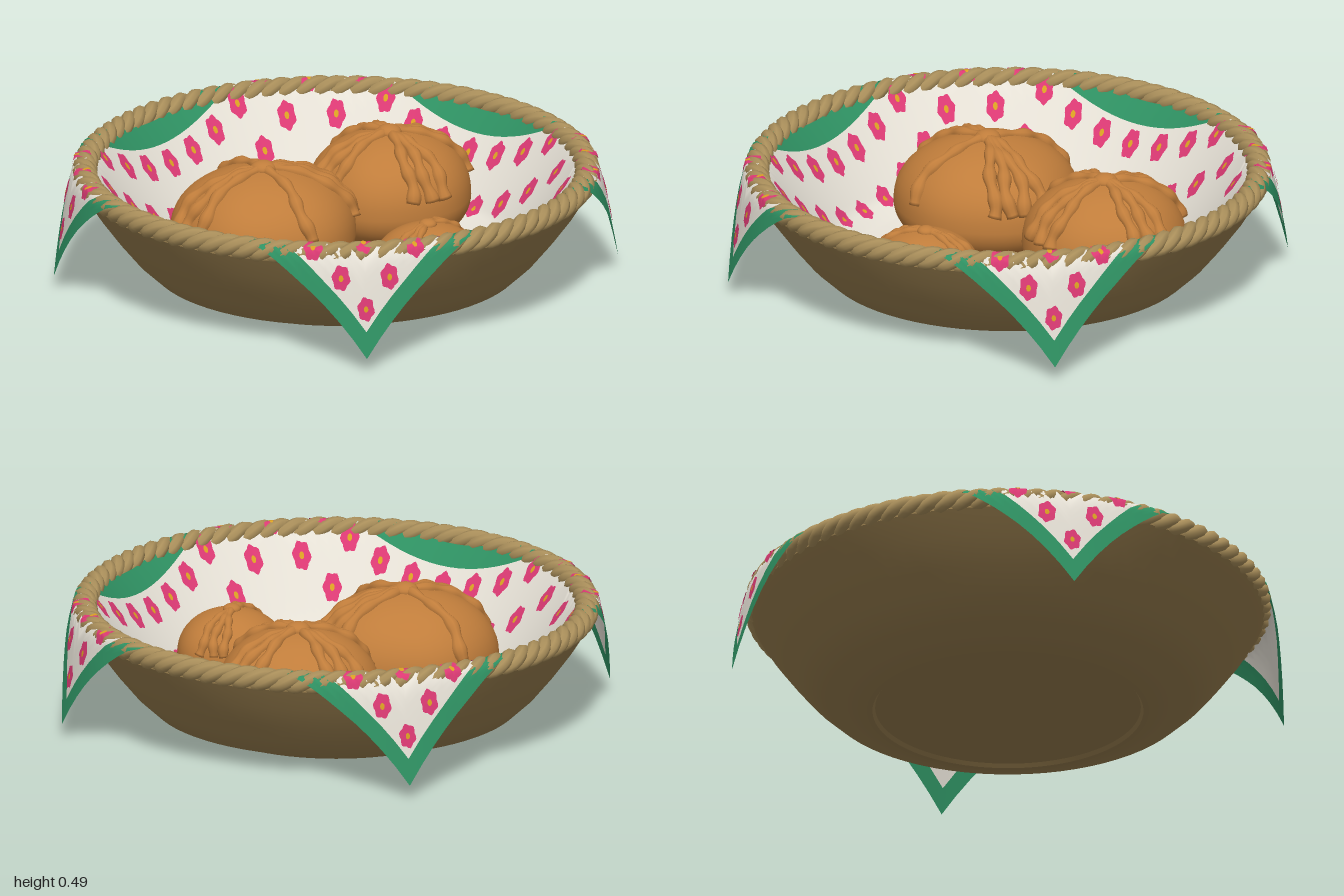
import * as THREE from 'three';
import { mergeGeometries, mergeVertices, toCreasedNormals } from 'three/addons/utils/BufferGeometryUtils.js';

const { sin, cos, PI, hypot, atan2, min, abs, max } = Math;
const V = (x, y, z) => new THREE.Vector3(x, y, z);

const material = (name, color, side = THREE.FrontSide) => {
  const m = new THREE.MeshStandardMaterial({ color, side });
  m.name = name;
  return m;
};

const part = (name, geometry, mat) => {
  const m = new THREE.Mesh(geometry, mat);
  m.name = name;
  return m;
};

// Smooth surface from fn(u, v) -> Vector3; its front lies along dv x du
function surface(nu, nv, fn) {
  const pos = [], index = [];
  for (let i = 0; i <= nu; i++)
    for (let j = 0; j <= nv; j++) pos.push(...fn(i / nu, j / nv).toArray());
  for (let i = 0; i < nu; i++)
    for (let j = 0; j < nv; j++) {
      const a = i * (nv + 1) + j, b = a + 1, c = a + nv + 1, d = c + 1;
      index.push(a, b, c, b, d, c);
    }
  let g = new THREE.BufferGeometry();
  g.setAttribute('position', new THREE.Float32BufferAttribute(pos, 3));
  g.setIndex(index);
  g = mergeVertices(g, 1e-5);
  g.computeVertexNormals();
  return g;
}

// Cloth drape: distance from the centre of the flat square -> [radius, height]
const DRAPE = [
  [0, 0, 0.05], [0.5, 0.5, 0.056], [0.6, 0.6, 0.078], [0.68, 0.68, 0.125], [0.88, 0.88, 0.4],
  [0.935, 0.935, 0.474], [0.965, 0.985, 0.462], [1.04, 1.012, 0.355], [1.28, 1.07, 0.045],
];
function drape(x, z) {
  const s = hypot(x, z), th = atan2(z, x);
  let k = 1;
  while (k < DRAPE.length - 1 && s > DRAPE[k][0]) k++;
  const [s0, r0, y0] = DRAPE[k - 1], [s1, r1, y1] = DRAPE[k];
  const t = (s - s0) / (s1 - s0), r = r0 + (r1 - r0) * t;
  return V(r * cos(th), y0 + (y1 - y0) * t, r * sin(th));
}
// Point lifted off the upper side of the cloth
function drapeLifted(x, z, lift) {
  const e = 0.012, p = drape(x, z);
  const dx = drape(x + e, z).sub(drape(x - e, z));
  const dz = drape(x, z + e).sub(drape(x, z - e));
  return p.addScaledVector(dz.cross(dx).normalize(), lift);
}

const HALF = 0.9, INNER = 0.845;

function makeCloth(mats) {
  const g = new THREE.Group();
  g.name = 'cloth';
  // Concentric squares between two half widths
  const squares = (from, to, rings) => surface(rings, 128, (u, v) => {
    const side = min(3, Math.floor(v * 4)), a = (v * 4 - side - 0.5) * PI / 2;
    const s = (from + (to - from) * u) / cos(a), th = a + side * PI / 2;
    return drape(s * cos(th), s * sin(th));
  });
  g.add(part('clothMiddle', squares(0, INNER, 64), mats.cloth));
  g.add(part('clothBorder', squares(INNER, HALF, 6), mats.border));

  // Two rows of printed flowers along each side
  const petals = [], hearts = [], step = 0.133;
  for (let i = -6; i <= 6; i++)
    for (let j = -6; j <= 6; j++) {
      if (max(abs(i), abs(j)) < 5) continue;
      const flower = (radius, wave, lift) => surface(3, 24, (u, v) => {
        const a = v * 2 * PI, r = u * radius * (1 + wave * cos(a * 6));
        return drapeLifted(i * step + r * cos(a), j * step + r * sin(a), lift);
      });
      petals.push(flower(0.034, 0.1, 0.004));
      hearts.push(flower(0.009, 0, 0.006));
    }
  g.add(part('flowerPetals', mergeGeometries(petals), mats.petal));
  g.add(part('flowerHearts', mergeGeometries(hearts), mats.heart));
  g.rotation.y = 20 * PI / 180;
  return g;
}

// Rope rim strand
class Strand extends THREE.Curve {
  constructor(phase) {
    super();
    this.phase = phase;
    this.arcLengthDivisions = 1200;
  }
  getPoint(t, out = V(0, 0, 0)) {
    const th = t * 2 * PI, p = 28 * th + this.phase, r = 0.945 + 0.022 * cos(p);
    return out.set(r * sin(th), 0.435 + 0.021 * sin(p), r * cos(th));
  }
}

// Bun: rounded dome with fans of lumpy pleats; angles in degrees from +x towards +z
function makeBun({ x, z, radius, base, top, width, pleats }, mat) {
  const g = new THREE.Group();
  g.name = 'bun';
  g.position.set(x, 0, z);
  const middle = base + (top - base) * 0.38;
  const skin = (p, th) => {
    const c = cos(p), lump = 1 + 0.015 * sin(3 * th + 1) + 0.012 * cos(5 * th);
    const r = radius * lump * (c > 0 ? sin(p) : Math.pow(max(0, sin(p)), 0.6));
    const y = middle + (c > 0 ? (top - middle) * Math.pow(c, 0.9) : (middle - base) * c);
    return V(r * cos(th), y, r * sin(th));
  };
  g.add(part('bunBody', surface(28, 48, (u, v) => skin(u * PI, v * 2 * PI)), mat));

  const ridges = pleats.map((deg, n) => {
    const th0 = deg * PI / 180;
    const path = (u) => skin(0.04 + 1.36 * u, th0 + 0.035 * sin(u * 9 + n * 2));
    return surface(36, 10, (u, v) => {
      const w = min(max(u, 0.002), 0.975), c = path(w);
      const T = path(w + 0.01).sub(path(w - 0.01)).normalize();
      const side = V(-sin(th0), 0, cos(th0));
      const N = T.clone().cross(side).normalize();
      if (N.y < 0) N.negate();
      const B = N.clone().cross(T);
      const r = u === 0 || u === 1 ? 0 : width * (0.72 + 0.35 * u + 0.16 * sin(u * 24 + n));
      const a = v * 2 * PI;
      return c.addScaledVector(B, r * cos(a)).addScaledVector(N, r * sin(a));
    });
  });
  g.add(part('bunPleats', mergeGeometries(ridges), mat));

  const knob = part('bunKnob', new THREE.SphereGeometry(width * 1.9, 20, 12), mat);
  knob.scale.y = 0.6;
  knob.position.y = top;
  g.add(knob);
  return g;
}

export function createModel() {
  const model = new THREE.Group();
  model.name = 'bunBasket';
  const mats = {
    cloth: material('offWhiteCloth', 0xe6e1d6, THREE.DoubleSide),
    border: material('greenBorder', 0x2f9263, THREE.DoubleSide),
    petal: material('pinkPrint', 0xdc3a74, THREE.DoubleSide),
    heart: material('yellowPrint', 0xd9a022, THREE.DoubleSide),
  };
  const bowlMat = material('bowlBrown', 0x957b4c);
  const ropeMat = material('ropeTan', 0xa98e5a);
  const bunMat = material('bunBrown', 0xc07d3b);

  // Bowl with recessed foot, outside then inside
  const profile = [
    [0, 0.014], [0.5, 0.014], [0.51, 0], [0.53, 0], [0.56, 0.012], [0.695, 0.06], [0.77, 0.13],
    [0.84, 0.215], [0.91, 0.31], [0.965, 0.4], [0.96, 0.43], [0.93, 0.43], [0.915, 0.385],
    [0.8, 0.22], [0.69, 0.085], [0.55, 0.035], [0, 0.03],
  ].map(([x, y]) => new THREE.Vector2(x, y));
  model.add(part('bowl', toCreasedNormals(new THREE.LatheGeometry(profile, 72), 0.6), bowlMat));

  // Twisted rope rim
  const strands = [0, 1, 2].map((k) =>
    new THREE.TubeGeometry(new Strand(k * 2 * PI / 3), 400, 0.026, 8, true));
  model.add(part('ropeRim', mergeGeometries(strands), ropeMat));

  model.add(makeCloth(mats));

  // Three buns
  const fan = (...centres) => centres.flatMap((c) => [c - 14, c, c + 14]);
  [
    { x: -0.265, z: -0.09, radius: 0.35, base: 0.05, top: 0.465, width: 0.026,
      pleats: [-90, 90, 167, 180, 193, -2, 9, 20, 31] },
    { x: 0.355, z: -0.2, radius: 0.31, base: 0.06, top: 0.465, width: 0.025, pleats: fan(0, 90, 180, 270) },
    { x: 0.125, z: 0.46, radius: 0.208, base: 0.055, top: 0.335, width: 0.018, pleats: fan(-28, 152) },
  ].forEach((b) => model.add(makeBun(b, bunMat)));

  return model;
}
